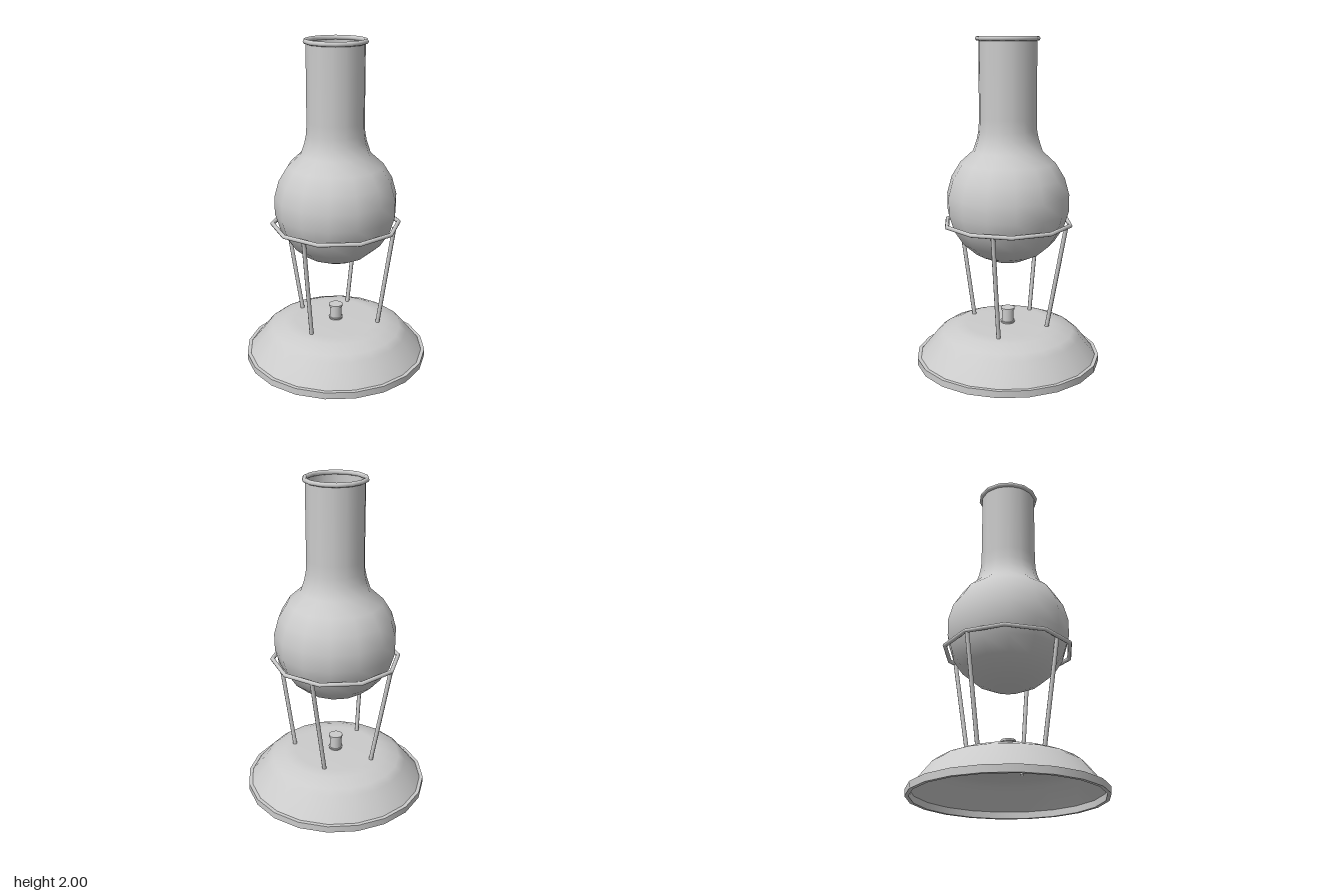
import * as THREE from 'three';

const grey = new THREE.MeshStandardMaterial({ color: 0xcccccc, side: THREE.DoubleSide });

function add(group, name, geometry) {
  const mesh = new THREE.Mesh(geometry, grey);
  mesh.name = name;
  group.add(mesh);
  return mesh;
}

// Turned part from [radius, height] pairs
function lathe(points, sides, turn = 0) {
  return new THREE.LatheGeometry(points.map(([r, y]) => new THREE.Vector2(r, y)), sides).rotateY(turn);
}

// Horizontal ring
function ring(radius, tube, sides, y) {
  return new THREE.TorusGeometry(radius, tube, 8, sides).rotateX(Math.PI / 2).translate(0, y, 0);
}

// Straight round bar between two points
function rod(from, to, radius) {
  return new THREE.TubeGeometry(new THREE.LineCurve3(from, to), 1, radius, 8, false);
}

export function createModel() {
  const model = new THREE.Group();
  model.name = 'flaskOnBurnerStand';

  // Base: hollow domed shell standing on a flat rim, each rim face kept sharp
  const baseSides = 20, baseTurn = Math.PI / baseSides;
  add(model, 'baseShell', lathe([
    [0.55, 0.04], [0.45, 0.165], [0.41, 0.195], [0.33, 0.228], [0.26, 0.238], [0, 0.238],
  ], baseSides, baseTurn));
  const rim = new THREE.Group();
  rim.name = 'baseRim';
  model.add(rim);
  const corners = [[0.55, 0], [0.572, 0], [0.572, 0.042], [0.55, 0.042]];
  corners.forEach((corner, i) => {
    add(rim, 'rimFace', lathe([corner, corners[(i + 1) % 4]], baseSides, baseTurn));
  });

  // Burner nozzle with a lip at each end
  add(model, 'burner', new THREE.CylinderGeometry(0.038, 0.038, 0.13, 14).translate(0, 0.265, 0));
  add(model, 'burnerLip', new THREE.CylinderGeometry(0.044, 0.044, 0.012, 14).translate(0, 0.329, 0));
  add(model, 'burnerFoot', new THREE.CylinderGeometry(0.046, 0.042, 0.012, 14).translate(0, 0.244, 0));

  // Stand: ten-sided ring carried by four splayed legs
  add(model, 'standRing', ring(0.388, 0.013, 10, 0.886));
  const legs = [ // foot x, z, then top x, z
    [-0.25, 0.075, -0.335, 0.12],
    [-0.08, -0.25, -0.125, -0.36],
    [0.17, 0.21, 0.22, 0.29],
    [0.21, -0.14, 0.33, -0.178],
  ];
  for (const [x0, z0, x1, z1] of legs) {
    const foot = new THREE.Vector3(x0, 0.235, z0);
    const top = new THREE.Vector3(x1, 0.885, z1);
    foot.lerp(top, -0.06);
    add(model, 'standLeg', rod(foot, top, 0.013));
  }

  // Flask: round bulb running into an open straight neck
  const profile = [];
  const steps = 9, bulbRadius = 0.376, bulbY = 1.015;
  for (let i = 0; i <= steps; i++) {
    const a = (i / steps) * THREE.MathUtils.degToRad(146);
    profile.push([bulbRadius * Math.sin(a), bulbY - bulbRadius * Math.cos(a)]);
  }
  profile.push([0.186, 1.4], [0.176, 1.45], [0.173, 1.52], [0.173, 1.985]);
  add(model, 'flask', lathe(profile, 14, Math.PI / 14 * 0.5));
  add(model, 'flaskLip', ring(0.177, 0.014, 14, 1.986));

  // Level surface inside the flask
  add(model, 'liquidSurface', new THREE.CircleGeometry(0.172, 14).rotateX(-Math.PI / 2).translate(0, 1.44, 0));

  return model;
}
